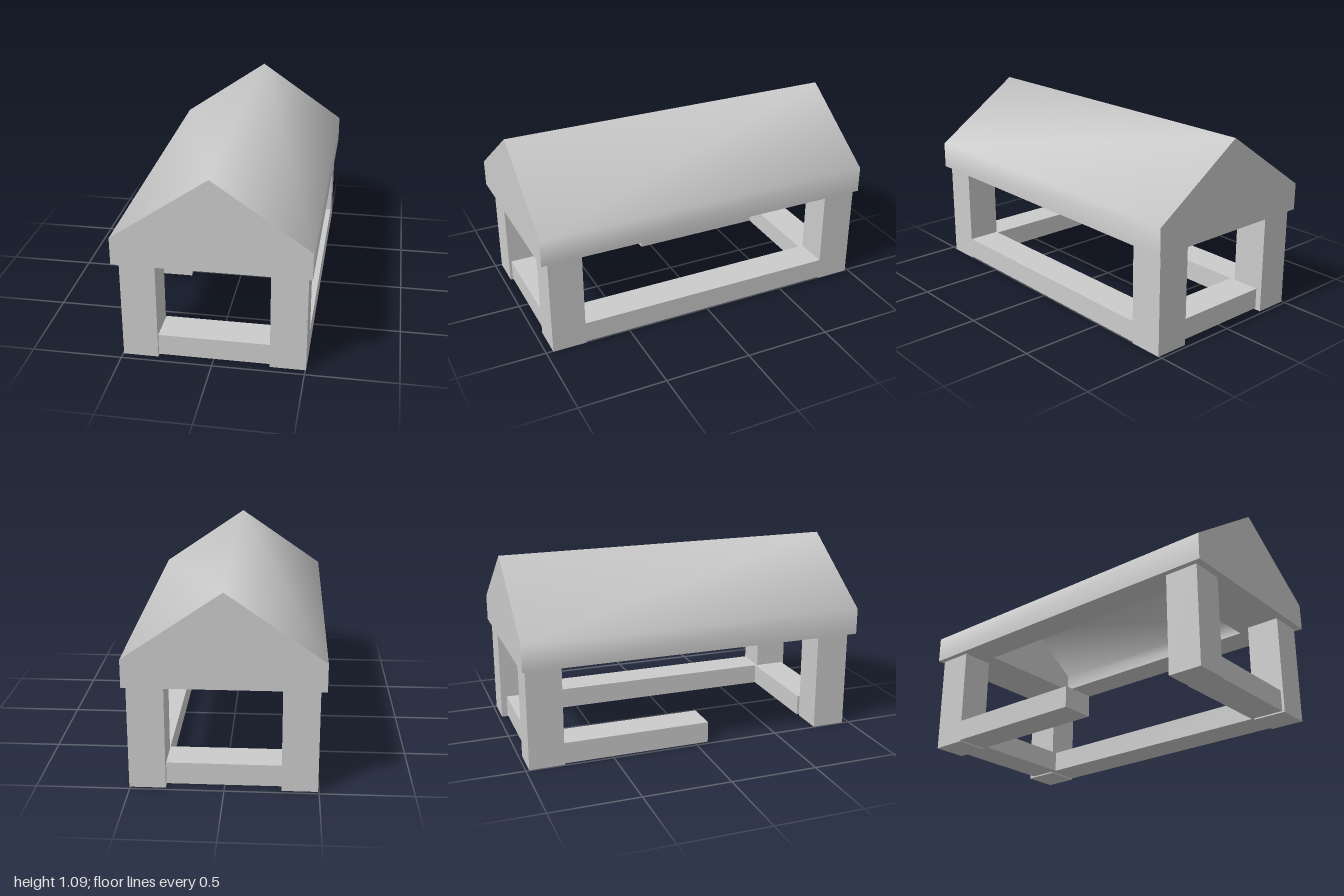
import * as THREE from 'three';
import { mergeGeometries, toCreasedNormals } from 'three/addons/utils/BufferGeometryUtils.js';

const material = new THREE.MeshStandardMaterial({ color: 0xcccccc });

// Box given by its extents on each axis
function block(name, [x0, x1], [y0, y1], [z0, z1]) {
  const mesh = new THREE.Mesh(new THREE.BoxGeometry(x1 - x0, y1 - y0, z1 - z0), material);
  mesh.position.set((x0 + x1) / 2, (y0 + y1) / 2, (z0 + z1) / 2);
  mesh.name = name;
  return mesh;
}

// Gabled prism without its underside; inward turns its faces to the inside
function gableShell(halfWidth, eave, ridge, halfDepth, inward) {
  const section = new THREE.Shape([
    new THREE.Vector2(-halfWidth, 0), new THREE.Vector2(halfWidth, 0),
    new THREE.Vector2(halfWidth, eave), new THREE.Vector2(0, ridge),
    new THREE.Vector2(-halfWidth, eave),
  ]);
  const solid = new THREE.ExtrudeGeometry(section, { depth: 2 * halfDepth, bevelEnabled: false });
  solid.translate(0, 0, -halfDepth);
  const p = solid.getAttribute('position');
  const kept = [];
  for (let i = 0; i < p.count; i += 3) {
    const tri = [0, 1, 2].map(k => new THREE.Vector3().fromBufferAttribute(p, i + k));
    if (tri.every(v => Math.abs(v.y) < 1e-6)) continue;
    if (inward) tri.reverse();
    tri.forEach(v => kept.push(v.x, v.y, v.z));
  }
  const shell = new THREE.BufferGeometry();
  shell.setAttribute('position', new THREE.Float32BufferAttribute(kept, 3));
  return shell;
}

function rectangle(PathType, w, d) {
  return new PathType([[-w, -d], [w, -d], [w, d], [-w, d]].map(([x, y]) => new THREE.Vector2(x, y)));
}

// Roof: solid gabled block with a smaller gabled hollow opening downward
function makeRoof() {
  const rim = rectangle(THREE.Shape, 0.527, 1);
  rim.holes.push(rectangle(THREE.Path, 0.345, 0.69));
  const underside = new THREE.ShapeGeometry(rim).rotateX(Math.PI / 2).toNonIndexed();
  underside.deleteAttribute('uv');
  underside.deleteAttribute('normal');
  const merged = mergeGeometries([
    gableShell(0.527, 0.153, 0.515, 1, false),
    gableShell(0.345, 0.1, 0.338, 0.69, true),
    underside,
  ]);
  merged.computeVertexNormals();
  // The ridge and eaves shade softly, the gable ends and rim stay sharp
  const roof = new THREE.Mesh(toCreasedNormals(merged, 1.25), material);
  roof.position.y = 0.575;
  roof.name = 'roof';
  return roof;
}

export function createModel() {
  const model = new THREE.Group();
  model.name = 'shelter';
  model.add(makeRoof());

  // Four corner posts
  const sides = { Left: [0.31, 0.505], Right: [-0.495, -0.302] };
  const ends = { front: [0.765, 0.96], back: [-0.98, -0.78] };
  for (const [side, x] of Object.entries(sides))
    for (const [end, z] of Object.entries(ends))
      model.add(block(`${end}${side}Post`, x, [0, 0.575], z));

  // Low rails: both ends, one full long side and one that stops halfway
  const height = [0.008, 0.13];
  model.add(block('frontRail', [-0.302, 0.31], height, [0.75, 0.945]));
  model.add(block('backRail', [-0.302, 0.31], height, [-0.945, -0.75]));
  model.add(block('leftRail', sides.Left, height, [-0.78, 0.765]));
  model.add(block('rightHalfRail', sides.Right, height, [-0.78, 0.07]));
  return model;
}
